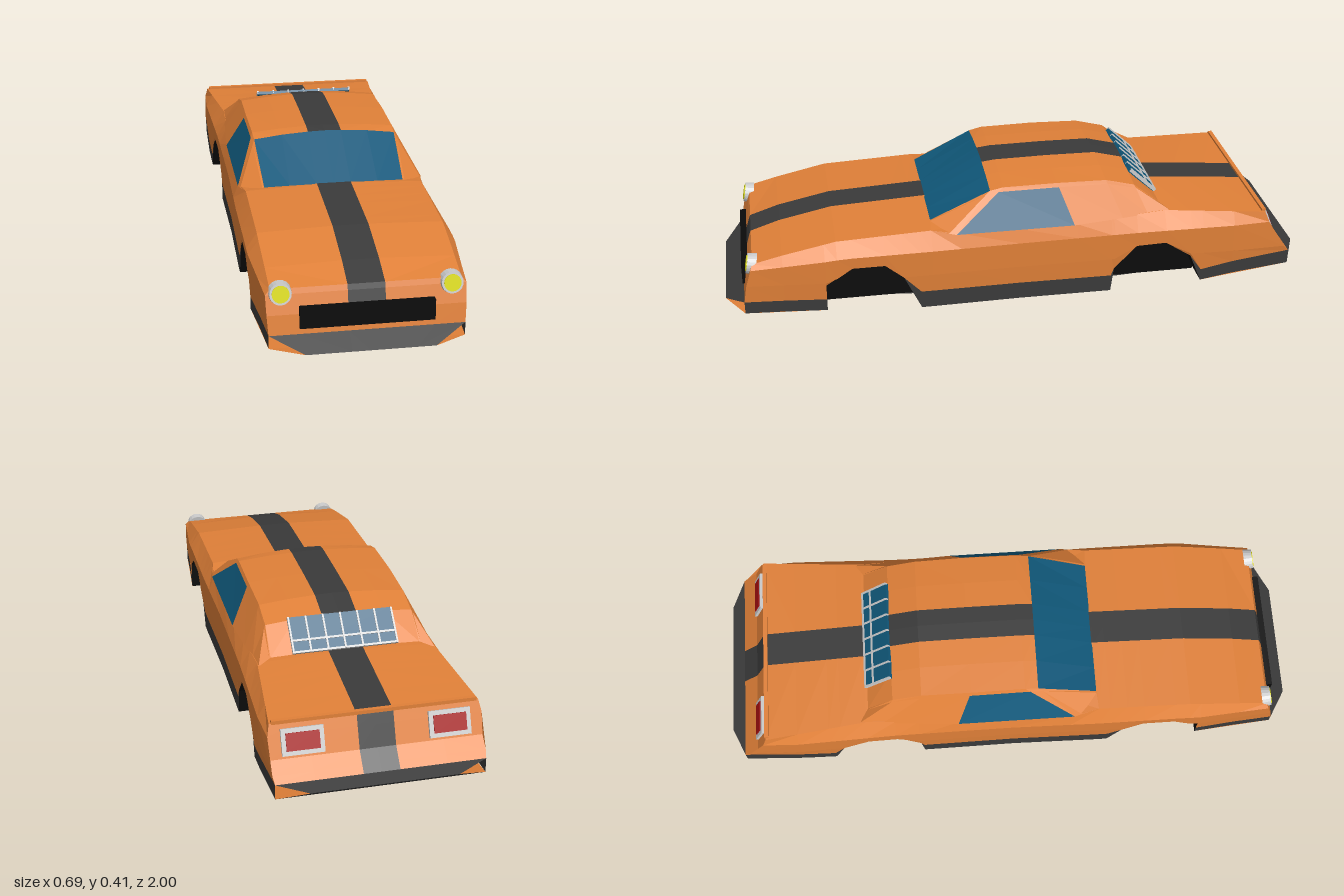
import * as THREE from 'three';

const ORANGE = 0xe08038, GREY = 0x3a3a3a, BLACK = 0x0b0b0b, BLUE = 0x10587a;
const SILVER = 0xbfbfbf, YELLOW = 0xdcdc10, RED = 0xa81010;

const V = (x, y, z) => new THREE.Vector3(x, y, z);
const paint = (color) => new THREE.MeshStandardMaterial({ color, flatShading: true, side: THREE.DoubleSide });

// Piecewise-linear lookup; keys may run up or down
function lookup(table, k) {
  const t = table[0][0] > table[table.length - 1][0] ? [...table].reverse() : table;
  if (k <= t[0][0]) return t[0][1];
  for (let i = 1; i < t.length; i++) {
    if (k <= t[i][0]) {
      const f = (k - t[i - 1][0]) / (t[i][0] - t[i - 1][0]);
      return t[i - 1][1] + f * (t[i][1] - t[i - 1][1]);
    }
  }
  return t[t.length - 1][1];
}

// Sheet through rows of points on the +x half, plus its mirror image
function panel(parent, name, color, rows, c0 = 0, c1 = rows[0].length - 1) {
  const pos = [];
  const tri = (a, b, c) => {
    for (const p of [a, b, c]) pos.push(p.x, p.y, p.z);
    for (const p of [a, c, b]) pos.push(-p.x, p.y, p.z);
  };
  for (let i = 0; i + 1 < rows.length; i++) {
    for (let j = c0; j < c1; j++) {
      const a = rows[i][j], b = rows[i][j + 1], c = rows[i + 1][j + 1], d = rows[i + 1][j];
      tri(a, b, c);
      tri(a, c, d);
    }
  }
  const geo = new THREE.BufferGeometry();
  geo.setAttribute('position', new THREE.Float32BufferAttribute(pos, 3));
  geo.computeVertexNormals();
  const mesh = new THREE.Mesh(geo, paint(color));
  mesh.name = name;
  parent.add(mesh);
}

function solid(parent, name, color, geo, x, y, z) {
  const mesh = new THREE.Mesh(geo, new THREE.MeshStandardMaterial({ color, flatShading: true }));
  mesh.name = name;
  mesh.position.set(x, y, z);
  parent.add(mesh);
  return mesh;
}
const box = (w, h, d) => new THREE.BoxGeometry(w, h, d);

// Body curves along z
const topY = [[0.9, 0.207], [0.8, 0.24], [0.62, 0.278], [0.3, 0.293], [-0.5, 0.3], [-0.86, 0.268]];
const edgeX = [[0.9, 0.295], [0.65, 0.3], [0.3, 0.3], [0.2, 0.315], [-0.2, 0.315], [-0.5, 0.295], [-0.86, 0.332]];
const edgeY = [[0.9, 0.207], [0.8, 0.232], [0.62, 0.27], [0.3, 0.283], [0.2, 0.27], [-0.2, 0.27], [-0.5, 0.288], [-0.86, 0.268]];
const sideX = [[0.9, 0.31], [0.65, 0.335], [0.3, 0.335], [0, 0.33], [-0.4, 0.333], [-0.75, 0.345], [-0.86, 0.34]];
const sideY = [[0.9, 0.19], [0.6, 0.22], [0, 0.222], [-0.86, 0.232]];
const bandY = [[0.9, 0.068], [-0.64, 0.062], [-0.86, 0.11]];
const sill = [[0.9, 0.025], [0.66, 0.025], [0.6599, 0.12], [0.57, 0.18], [0.46, 0.18], [0.4, 0.13], [0.34, 0.004],
  [-0.32, 0.004], [-0.33, 0.09], [-0.41, 0.175], [-0.51, 0.18], [-0.6, 0.12], [-0.64, 0.02], [-0.86, 0.06]];
// Lean of the nose and tail faces by height
const noseLean = [[0.07, 0.035], [0.155, 0.02], [0.207, 0]];
const tailLean = [[0.11, -0.095], [0.165, -0.042], [0.268, 0]];

function section(z) {
  const at = (t) => lookup(t, z);
  const b = at(sill), low = at(sideX) - 0.006;
  const pts = [
    [0, at(topY)], [0.058, at(topY)], [at(edgeX), at(edgeY)], [at(sideX), at(sideY)],
    [low + 0.004, Math.max(0.13, b)], [low, Math.max(at(bandY), b)], [low, b],
  ];
  const lean = z === 0.9 ? noseLean : z === -0.86 ? tailLean : [[0, 0], [1, 0]];
  return pts.map(([x, y]) => V(x, y, z + lookup(lean, y)));
}

function buildBody(car) {
  const zs = [0.9, 0.8, 0.66, 0.6599, 0.62, 0.57, 0.46, 0.4, 0.34, 0.3, 0.2, 0, -0.2, -0.32, -0.33,
    -0.41, -0.51, -0.6, -0.64, -0.75, -0.86];
  const rows = zs.map(section);
  panel(car, 'bodyStripe', GREY, rows, 0, 1);
  panel(car, 'bodyShell', ORANGE, rows, 1, 5);
  panel(car, 'sillBand', GREY, rows, 5, 6);

  // Nose and tail faces, then the pointed bumpers
  const across = (p) => [0, 0.058, 0.21, p.x].map((x) => V(x, p.y, p.z));
  const front = rows[0], rear = rows[rows.length - 1];
  const nose = [5, 4, 3, 2].map((k) => across(front[k]));
  const tailMid = V(0.337, 0.165, -0.902);
  const tail = [rear[2], rear[3], tailMid, rear[4], rear[5]].map(across);
  panel(car, 'nosePanel', ORANGE, nose, 1, 3);
  panel(car, 'noseLower', ORANGE, nose.slice(0, 2), 0, 1);
  panel(car, 'noseStripe', GREY, nose.slice(1), 0, 1);
  panel(car, 'tailPanel', ORANGE, tail, 1, 3);
  panel(car, 'tailStripe', GREY, tail, 0, 1);
  panel(car, 'tailCorner', ORANGE, [[rear[3], rear[4]], [tailMid, rear[4]]]);
  const tip = (w, y, z) => [0, 0.058, w * 0.7, w].map((x) => V(x, y, z));
  const frontTip = tip(0.2, 0.03, 1), rearTip = tip(0.235, 0.095, -1);
  panel(car, 'frontBumper', GREY, [frontTip, across(front[5])]);
  panel(car, 'frontBumperUnderside', ORANGE, [across(front[6]), frontTip]);
  panel(car, 'rearBumper', GREY, [across(rear[5]), rearTip, across(rear[6])]);

  // Underside
  const under = (z, p = section(z)[6]) => [0, 0.235, p.x].map((x) => V(x, p.y, p.z));
  const flat = (z, y) => [V(0, y, z), V(0.235, y, z)];
  panel(car, 'floor', GREY, [flat(-0.64, 0.02), flat(-0.32, 0.004), flat(0.34, 0.004), flat(0.66, 0.025)]);
  panel(car, 'floorSide', GREY, [-0.32, 0, 0.34].map((z) => under(z)), 1, 2);
  panel(car, 'frontUnderside', ORANGE, [under(0.66), under(0.9, front[6])]);
  panel(car, 'rearUnderside', ORANGE, [under(-0.86, rear[6]), under(-0.64)]);

  // Wheel wells: arch lining and inner wall
  for (const [name, z0, z1] of [['frontWheelWell', 0.66, 0.34], ['rearWheelWell', -0.32, -0.64]]) {
    const arch = zs.filter((z) => z <= z0 && z >= z1).map((z) => section(z)[6]);
    panel(car, name, BLACK, arch.map((p) => [V(p.x, p.y, p.z), V(0.235, p.y, p.z), V(0.235, 0.01, p.z)]));
  }
}

function buildCabin(car) {
  // edge z, base z, centre y, edge x, edge y, base x, base y
  const stations = [
    [0.295, 0.3, 0.292, 0.237, 0.29, 0.3, 0.283],
    [0.09, 0.24, 0.408, 0.246, 0.388, 0.312, 0.272],
    [0.045, 0.215, 0.413, 0.248, 0.398, 0.318, 0.268],
    [-0.14, -0.19, 0.415, 0.25, 0.4, 0.318, 0.268],
    [-0.31, -0.36, 0.413, 0.248, 0.396, 0.308, 0.276],
    [-0.41, -0.45, 0.387, 0.248, 0.37, 0.3, 0.28],
    [-0.5, -0.53, 0.302, 0.25, 0.297, 0.296, 0.285],
  ];
  const rows = stations.map(([ze, zb, yc, xe, ye, xb, yb]) => [
    V(0, yc, ze), V(0.058, yc - (yc - ye) * 0.08, ze), V(0.15, yc - (yc - ye) * 0.4, ze), V(xe, ye, ze),
    V(xe + (xb - xe) * 0.1, ye + (yb - ye) * 0.1, ze + (zb - ze) * 0.1), V(xb, yb, zb),
  ]);
  panel(car, 'windshield', BLUE, rows.slice(0, 2), 0, 3);
  panel(car, 'roofStripe', GREY, rows.slice(1), 0, 1);
  panel(car, 'roof', ORANGE, rows.slice(1), 1, 3);
  panel(car, 'roofRail', ORANGE, rows, 3, 4);
  panel(car, 'frontPillar', ORANGE, rows.slice(0, 3), 4, 5);
  panel(car, 'sideWindow', BLUE, rows.slice(2, 4), 4, 5);
  panel(car, 'rearPillar', ORANGE, rows.slice(3), 4, 5);

  // Rear window with its slats
  const win = new THREE.Group();
  win.name = 'rearWindow';
  win.position.set(0, 0.345, -0.457);
  win.rotation.x = -0.757;
  solid(win, 'rearGlass', BLUE, box(0.35, 0.012, 0.124), 0, 0, 0);
  for (let i = 0; i <= 6; i++) solid(win, 'slat', SILVER, box(0.006, 0.012, 0.124), (i - 3) * 0.058, 0.004, 0);
  for (const z of [-0.06, -0.02]) solid(win, 'crossBar', SILVER, box(0.354, 0.01, 0.007), 0, 0.004, z);
  car.add(win);
}

function buildDetails(car) {
  solid(car, 'grille', BLACK, box(0.418, 0.068, 0.045), 0, 0.12, 0.916);
  solid(car, 'tailLip', ORANGE, box(0.65, 0.012, 0.014), 0, 0.271, -0.856);
  for (const [s, side] of [[1, 'left'], [-1, 'right']]) {
    const lamp = new THREE.Group();
    lamp.name = side + 'Headlight';
    lamp.position.set(s * 0.264, 0.193, 0.903);
    lamp.rotation.x = Math.PI / 2 - 0.2;
    solid(lamp, 'rim', SILVER, new THREE.CylinderGeometry(0.034, 0.038, 0.03, 20), 0, 0, 0);
    solid(lamp, 'lens', YELLOW, new THREE.CylinderGeometry(0.027, 0.027, 0.004, 20), 0, 0.0155, 0);
    car.add(lamp);

    const light = new THREE.Group();
    light.name = side + 'TailLight';
    light.position.set(s * 0.233, 0.212, -0.884);
    light.rotation.x = 0.38;
    solid(light, 'frame', SILVER, box(0.134, 0.084, 0.016), 0, 0, 0);
    solid(light, 'lens', RED, box(0.106, 0.056, 0.004), 0, 0, -0.009);
    car.add(light);
  }
}

export function createModel() {
  const car = new THREE.Group();
  car.name = 'carBody';
  buildBody(car);
  buildCabin(car);
  buildDetails(car);
  return car;
}
